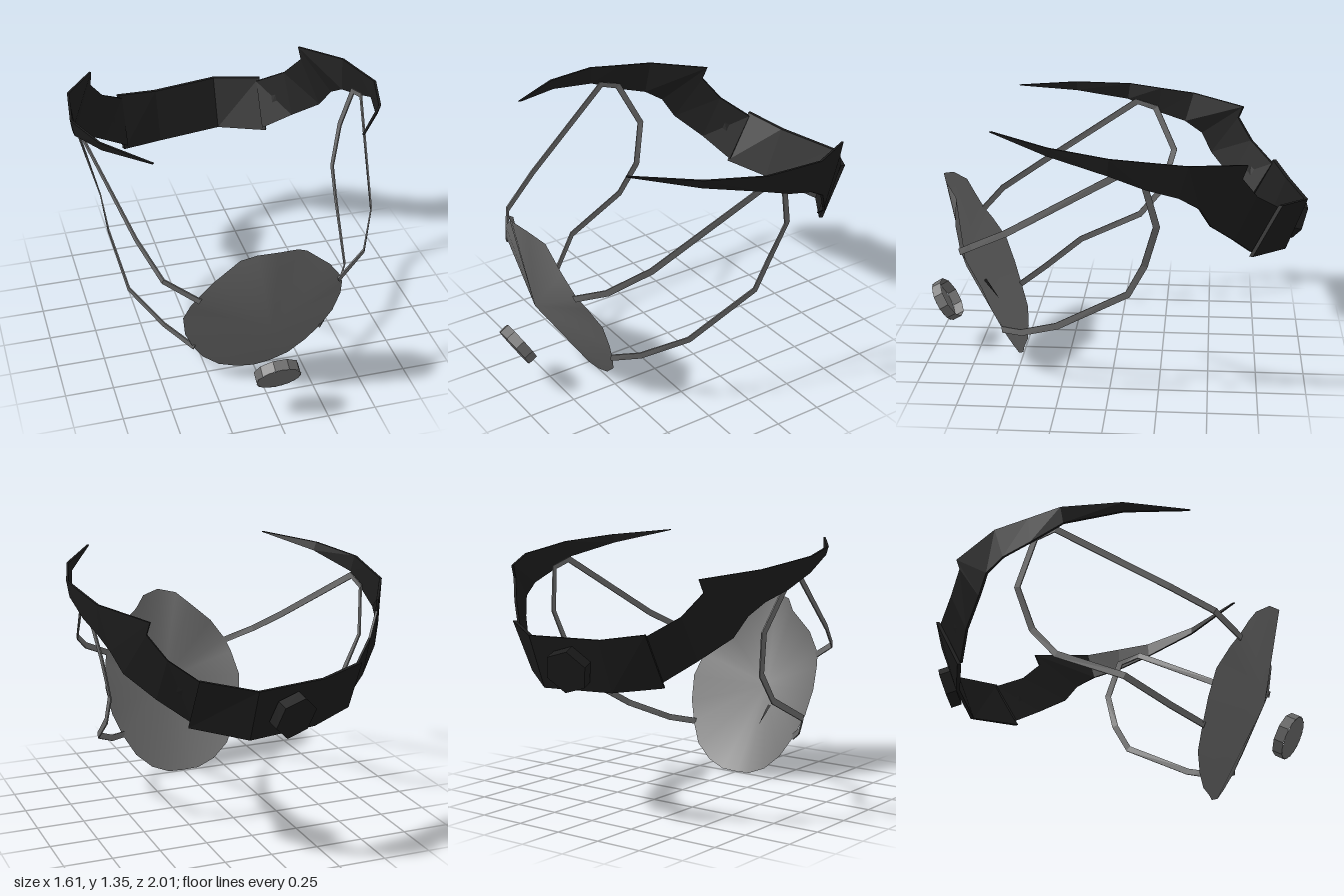
import * as THREE from 'three';

const V = (a) => new THREE.Vector3(...a);
const mirror = (p) => [-p[0], p[1], p[2]];

// Flat-shaded solid lofted through closed four-point sections, with end caps.
function loft(sections) {
  const pos = [];
  const quad = (a, b, c, d) => [a, b, c, a, c, d].forEach((p) => pos.push(p.x, p.y, p.z));
  for (let i = 0; i < sections.length - 1; i++) {
    const s = sections[i], t = sections[i + 1];
    for (let k = 0; k < 4; k++) {
      const n = (k + 1) % 4;
      quad(s[k], s[n], t[n], t[k]);
    }
  }
  const e = sections[sections.length - 1];
  quad(...[...sections[0]].reverse());
  quad(...e);
  const g = new THREE.BufferGeometry();
  g.setAttribute('position', new THREE.Float32BufferAttribute(pos, 3));
  g.computeVertexNormals();
  return g;
}

// Curved plate given by pairs of top and bottom edge points, thickened inwards.
function plate(pairs, thick) {
  return loft(pairs.map(([t, b]) => {
    const top = V(t), bottom = V(b);
    const inward = new THREE.Vector3(-t[0], 0, -t[2]).normalize().multiplyScalar(thick);
    return [top, bottom, bottom.clone().add(inward), top.clone().add(inward)];
  }));
}

// Thin ribbon that follows a path with its flat side facing away from the head.
function ribbon(path, width, thick) {
  const pts = path.map(V);
  return loft(pts.map((p, i) => {
    const tan = pts[Math.min(i + 1, pts.length - 1)].clone().sub(pts[Math.max(i - 1, 0)]).normalize();
    const out = new THREE.Vector3(p.x, 0, p.z * 0.4);
    out.addScaledVector(tan, -out.dot(tan)).normalize();
    const side = tan.clone().cross(out).normalize();
    const corner = (a, b) => p.clone().addScaledVector(side, a * width / 2).addScaledVector(out, b * thick / 2);
    return [corner(1, 1), corner(-1, 1), corner(-1, -1), corner(1, -1)];
  }));
}

export function createModel() {
  const group = new THREE.Group();
  const material = (name, color) => {
    const m = new THREE.MeshStandardMaterial({ color, side: THREE.DoubleSide });
    m.name = name;
    return m;
  };
  const grey = material('mask grey', 0x6c6c6c);
  const black = material('band black', 0x1c1c1c);
  const flat = (m) => { const c = m.clone(); c.flatShading = true; return c; };
  const greyFlat = flat(grey), blackFlat = flat(black);
  const add = (name, geometry, mat) => {
    const mesh = new THREE.Mesh(geometry, mat);
    mesh.name = name;
    group.add(mesh);
    return mesh;
  };

  // Mask shell: a smooth fan from the middle to a mirrored rim
  const half = [
    [0.1, 0.968, 0.885], [0.165, 0.91, 0.825], [0.29, 0.8, 0.81], [0.365, 0.69, 0.775],
    [0.388, 0.62, 0.73], [0.41, 0.5, 0.66], [0.39, 0.36, 0.61], [0.34, 0.235, 0.565],
    [0.28, 0.13, 0.525], [0.19, 0.05, 0.51], [0.09, 0.01, 0.503],
  ];
  const rim = [[0, 0.99, 0.918], ...half, [0, 0.004, 0.51], ...half.map(mirror).reverse()];
  const index = rim.flatMap((p, i) => [0, ((i + 1) % rim.length) + 1, i + 1]);
  const shell = new THREE.BufferGeometry();
  shell.setAttribute('position', new THREE.Float32BufferAttribute([[0, 0.465, 0.815], ...rim].flat(), 3));
  shell.setIndex(index);
  shell.computeVertexNormals();
  add('maskShell', shell, grey);

  // Small dark clip on the inside of the shell
  const clip = new THREE.BufferGeometry();
  clip.setAttribute('position', new THREE.Float32BufferAttribute(
    [-0.057, 0.26, 0.65, -0.09, 0.365, 0.725, -0.062, 0.365, 0.735], 3));
  clip.computeVertexNormals();
  add('innerClip', clip, black);

  // Valve: ten-sided cup, closed in front and open behind
  const valve = new THREE.Group();
  valve.name = 'valve';
  const wall = new THREE.Mesh(new THREE.CylinderGeometry(0.115, 0.115, 0.054, 10, 1, true, Math.PI / 10), greyFlat);
  wall.name = 'valveWall';
  const face = new THREE.Mesh(new THREE.CircleGeometry(0.115, 10), greyFlat);
  face.name = 'valveFace';
  face.rotation.set(-Math.PI / 2, 0, Math.PI / 10);
  face.position.y = 0.027;
  valve.add(wall, face);
  valve.position.set(0, 0.272, 0.925);
  valve.quaternion.setFromUnitVectors(new THREE.Vector3(0, 1, 0), new THREE.Vector3(0, -0.5, 0.866).normalize());
  group.add(valve);

  // Elastic cords, one loop on each side
  add('rightCord', ribbon([
    [-0.35, 0.675, 0.78], [-0.51, 0.76, 0.685], [-0.595, 0.885, 0.48], [-0.757, 1.215, -0.06],
    [-0.757, 1.18, -0.17], [-0.7, 0.95, -0.28], [-0.645, 0.73, -0.215], [-0.633, 0.58, -0.09],
    [-0.6, 0.43, 0.25], [-0.46, 0.31, 0.44], [-0.335, 0.24, 0.575]], 0.034, 0.007), greyFlat);
  add('leftCord', ribbon([
    [0.35, 0.675, 0.78], [0.51, 0.76, 0.69], [0.612, 0.87, 0.5], [0.742, 1.215, -0.06],
    [0.742, 1.18, -0.18], [0.7, 0.95, -0.24], [0.645, 0.73, -0.18], [0.643, 0.58, -0.1],
    [0.58, 0.375, 0.26], [0.44, 0.275, 0.46], [0.335, 0.245, 0.575]], 0.034, 0.007), greyFlat);

  // Head band arms: pairs of top and bottom edge points from front tip to back
  const arm = [
    [[0.52, 1.357, 0.58], [0.52, 1.353, 0.58]],
    [[0.72, 1.335, 0.28], [0.705, 1.29, 0.28]],
    [[0.807, 1.31, -0.02], [0.79, 1.225, -0.01]],
    [[0.785, 1.29, -0.2], [0.775, 1.155, -0.19]],
    [[0.762, 1.27, -0.39], [0.75, 1.11, -0.345]],
    [[0.595, 1.235, -0.67], [0.72, 1.05, -0.445]],
    [[0.605, 1.17, -0.645], [0.675, 0.95, -0.5]],
    [[0.53, 1.06, -0.72], [0.55, 0.84, -0.615]],
    [[0.4, 0.965, -0.835], [0.4, 0.73, -0.705]],
  ];
  add('leftBandArm', plate(arm, 0.012), blackFlat);
  add('rightBandArm', plate(arm.map((pair) => pair.map(mirror)), 0.012), blackFlat);

  // Back plate joining the arms
  add('backPlate', plate([
    [[-0.42, 0.982, -0.848], [-0.425, 0.712, -0.71]],
    [[-0.19, 0.945, -0.915], [-0.19, 0.678, -0.815]],
    [[0.18, 0.945, -0.988], [0.18, 0.675, -0.885]],
    [[0.42, 0.982, -0.848], [0.425, 0.712, -0.71]]], 0.02), blackFlat);

  // Six-sided adjusting knob on the back plate
  const knob = add('adjustingKnob', new THREE.CylinderGeometry(0.115, 0.115, 0.06, 6), blackFlat);
  knob.position.set(-0.02, 0.79, -0.93);
  knob.quaternion.setFromUnitVectors(new THREE.Vector3(0, 1, 0), new THREE.Vector3(-0.2, -0.33, -0.92).normalize());

  return group;
}
